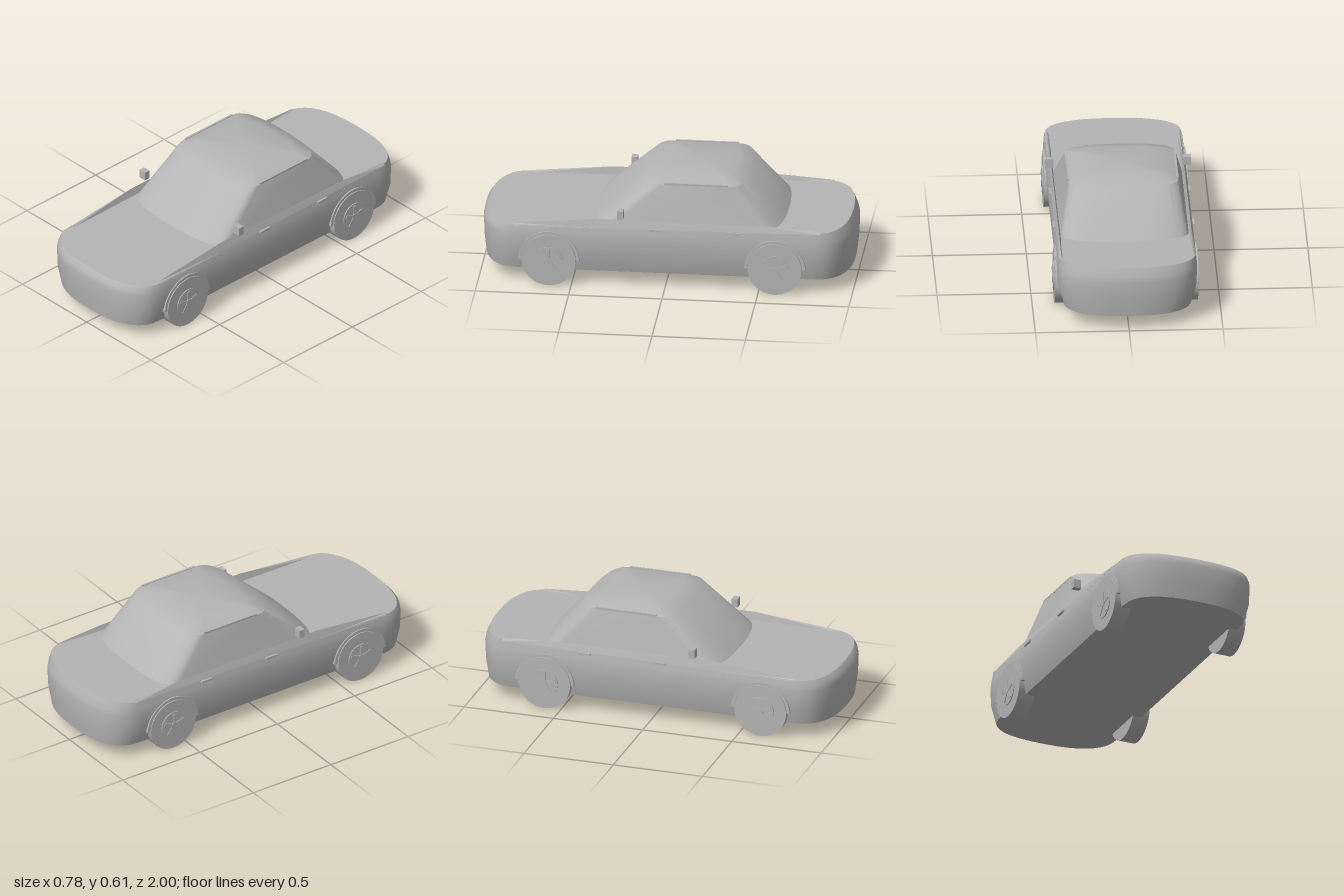
import * as THREE from 'three';
import { toCreasedNormals } from 'three/addons/utils/BufferGeometryUtils.js';

const grey = new THREE.MeshStandardMaterial({ color: 0xb4b4b4, side: THREE.DoubleSide });
grey.name = 'grey paint';

const STEPS = 18;

// Plan outline: straight sides with rounded, bulging ends
function outline({ w, front, back, frontEnd, backEnd, y, n = 2.5 }) {
  const pts = [];
  for (const [start, end, turn] of [[front, frontEnd, 0], [back, backEnd, Math.PI]]) {
    for (let i = 0; i <= STEPS; i++) {
      const t = turn + Math.PI * i / STEPS;
      const c = Math.cos(t), s = Math.abs(Math.sin(t));
      const x = w * Math.sign(c) * Math.abs(c) ** (2 / n);
      const z = start + (end - start) * s ** (2 / n);
      pts.push([x, typeof y === 'function' ? y(z) : y, z]);
    }
  }
  return pts;
}

// Closed shell through a stack of outlines, bottom to top
function loft(sections, crease) {
  const rings = sections.map(outline);
  const count = rings[0].length;
  const pos = rings.flat(2), index = [];
  const centre = (ring) => {
    const z = (ring[STEPS / 2][2] + ring[STEPS + 1 + STEPS / 2][2]) / 2;
    const y = (ring[STEPS / 2][1] + ring[STEPS + 1 + STEPS / 2][1]) / 2;
    pos.push(0, y, z);
    return pos.length / 3 - 1;
  };
  const low = centre(rings[0]), high = centre(rings[rings.length - 1]);
  const last = (rings.length - 1) * count;
  for (let i = 0; i < count; i++) {
    const j = (i + 1) % count;
    for (let r = 0; r < last; r += count) {
      index.push(r + i, r + count + i, r + j, r + j, r + count + i, r + count + j);
    }
    index.push(low, i, j, high, last + j, last + i);
  }
  const g = new THREE.BufferGeometry();
  g.setAttribute('position', new THREE.Float32BufferAttribute(pos, 3));
  g.setIndex(index);
  return toCreasedNormals(g, crease);
}

// Narrow ridge along the waistline, triangular in section
function ridge(side) {
  const profile = [[0.8, 0.342], [0.35, 0.385], [-0.55, 0.38], [-0.83, 0.362]];
  const pos = [], index = [];
  profile.forEach(([z, top], k) => {
    const base = 0.345 - z * 0.011;
    pos.push(side * 0.366, base - 0.004, z, side * 0.353, top, z, side * 0.342, base - 0.004, z);
    if (k === 0) return;
    const a = (k - 1) * 3, b = k * 3;
    for (const i of [0, 1]) {
      const q = [a + i, b + i, a + i + 1, a + i + 1, b + i, b + i + 1];
      index.push(...(side > 0 ? q : q.reverse()));
    }
  });
  const g = new THREE.BufferGeometry();
  g.setAttribute('position', new THREE.Float32BufferAttribute(pos, 3));
  g.setIndex(index);
  return toCreasedNormals(g, 0.4);
}

function add(parent, name, geometry, x = 0, y = 0, z = 0) {
  const m = new THREE.Mesh(geometry, grey);
  m.name = name;
  m.position.set(x, y, z);
  parent.add(m);
  return m;
}

// Wheel and arch, axle along x, outer face towards the given side
function makeWheel(side) {
  const wheel = new THREE.Group();
  wheel.name = 'wheel';
  const disc = (r, width, sides) => new THREE.CylinderGeometry(r, r, width, sides).rotateZ(Math.PI / 2);
  add(wheel, 'tyre', disc(0.145, 0.092, 32), side * 0.336);
  add(wheel, 'rim', disc(0.078, 0.006, 24), side * 0.384);
  add(wheel, 'hubCap', disc(0.018, 0.008, 12), side * 0.388);
  for (let i = 0; i < 5; i++) {
    const spoke = new THREE.BoxGeometry(0.007, 0.06, 0.015).translate(0, 0.036, 0);
    add(wheel, 'spoke', spoke, side * 0.387).rotation.x = i * Math.PI * 2 / 5;
  }
  const s = new THREE.Shape();
  s.absarc(0, 0, 0.163, 0, Math.PI, false);
  s.absarc(0, 0, 0.146, Math.PI, 0, true);
  const arch = new THREE.ExtrudeGeometry(s, { depth: 0.018, bevelEnabled: false, curveSegments: 20 });
  arch.translate(0, 0, -0.009).rotateY(Math.PI / 2);
  add(wheel, 'wheelArch', toCreasedNormals(arch, 0.5), side * 0.369);
  return wheel;
}

export function createModel() {
  const car = new THREE.Group();
  car.name = 'car';

  // Lower body
  const bodyRing = (w, end, y) => ({ w, front: 0.78, back: -0.78, frontEnd: end, backEnd: -end, y });
  add(car, 'body', loft([
    bodyRing(0.34, 0.985, 0.08),
    bodyRing(0.369, 0.996, 0.18),
    bodyRing(0.373, 1.0, 0.28),
    bodyRing(0.37, 0.994, 0.31),
    bodyRing(0.364, 0.973, (z) => 0.345 - z * 0.011),
  ], 0.75));

  // Cabin with rounded windscreens and flat side glass
  add(car, 'cabin', loft([
    { w: 0.342, front: 0.29, back: -0.53, frontEnd: 0.39, backEnd: -0.64, y: 0.34 },
    { w: 0.295, front: 0.02, back: -0.33, frontEnd: 0.13, backEnd: -0.435, y: 0.575 },
    { w: 0.22, front: -0.03, back: -0.29, frontEnd: 0.03, backEnd: -0.35, y: 0.605 },
  ], 0.55));

  for (const side of [-1, 1]) {
    add(car, 'waistRidge', ridge(side));
    add(car, 'roofRail', new THREE.BoxGeometry(0.012, 0.01, 0.34), side * 0.29, 0.578, -0.16);
    add(car, 'mirror', new THREE.BoxGeometry(0.043, 0.048, 0.033), side * 0.367, 0.423, 0.237);
    for (const z of [0.05, -0.37]) {
      add(car, 'doorHandle', new THREE.BoxGeometry(0.012, 0.012, 0.068), side * 0.371, 0.337, z);
    }
    for (const z of [0.62, -0.59]) {
      const wheel = makeWheel(side);
      wheel.position.set(0, 0.145, z);
      car.add(wheel);
    }
  }
  return car;
}
